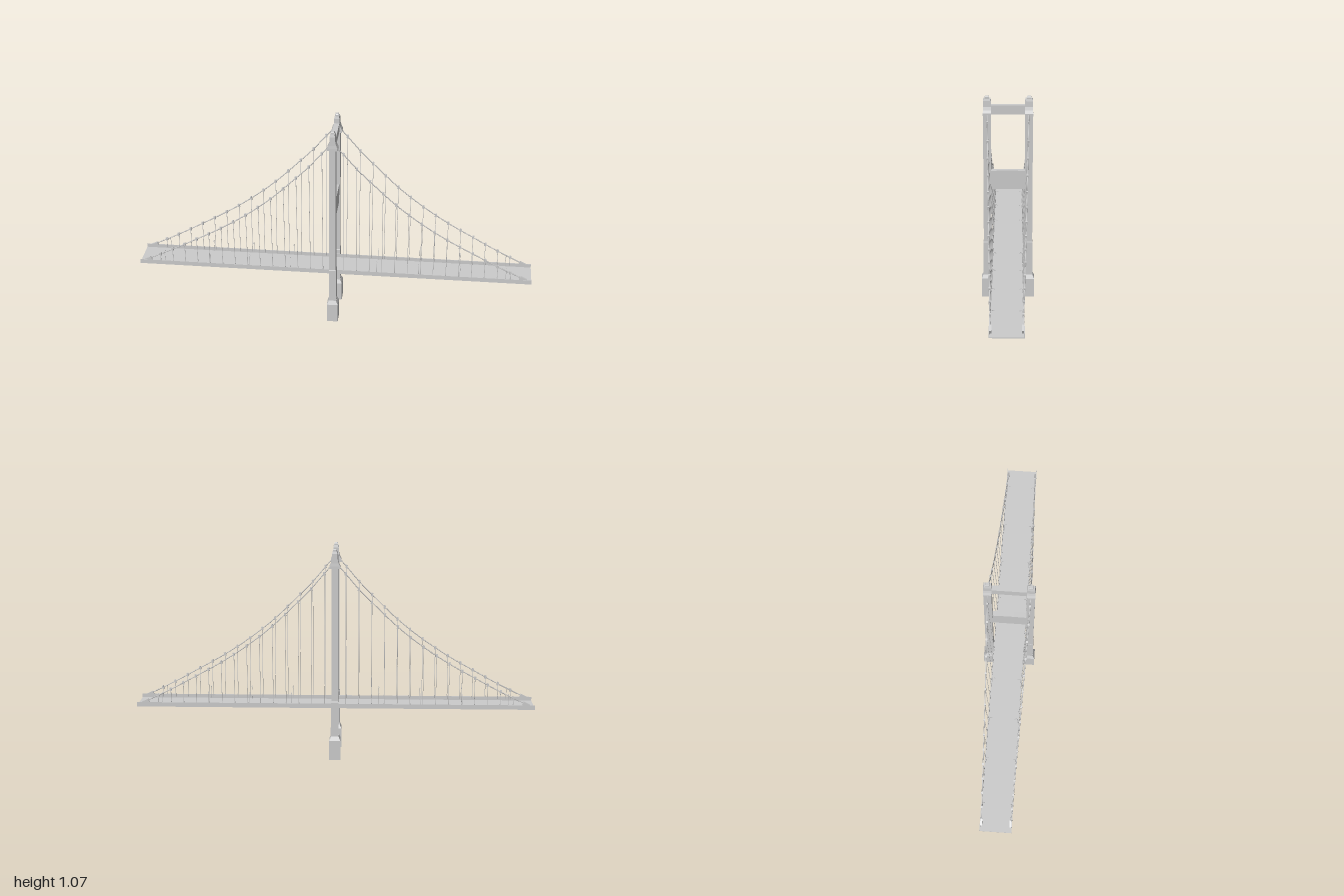
import * as THREE from 'three';

const grey = new THREE.MeshStandardMaterial({ color: 0xcccccc, flatShading: true });
const smooth = new THREE.MeshStandardMaterial({ color: 0xcccccc });

function add(parent, name, geometry, material = grey) {
  const mesh = new THREE.Mesh(geometry, material);
  mesh.name = name;
  parent.add(mesh);
  return mesh;
}

function box(parent, name, w, h, d, x, y, z) {
  const mesh = add(parent, name, new THREE.BoxGeometry(w, h, d));
  mesh.position.set(x, y, z);
  return mesh;
}

// Stacks rectangular sections [y, half width, half depth] into a closed solid.
function loft(sections) {
  const corners = [[1, 1], [1, -1], [-1, -1], [-1, 1]];
  const rings = sections.map(([y, hx, hz]) => corners.map(([a, b]) => [a * hx, y, b * hz]));
  const pos = [];
  const quad = (a, b, c, d) => [a, b, c, a, c, d].forEach(p => pos.push(...p));
  for (let i = 0; i + 1 < rings.length; i++) {
    for (let k = 0; k < 4; k++) {
      const n = (k + 1) % 4;
      quad(rings[i][k], rings[i][n], rings[i + 1][n], rings[i + 1][k]);
    }
  }
  const [b, t] = [rings[0], rings[rings.length - 1]];
  quad(b[3], b[2], b[1], b[0]);
  quad(t[0], t[1], t[2], t[3]);
  const geometry = new THREE.BufferGeometry();
  geometry.setAttribute('position', new THREE.Float32BufferAttribute(pos, 3));
  geometry.computeVertexNormals();
  return geometry;
}

// Thin straight rod between two points.
function rod(parent, name, a, b, radius) {
  const mesh = add(parent, name, new THREE.CylinderGeometry(radius, radius, a.distanceTo(b), 6), smooth);
  mesh.position.copy(a).lerp(b, 0.5);
  mesh.quaternion.setFromUnitVectors(new THREE.Vector3(0, 1, 0), b.clone().sub(a).normalize());
  return mesh;
}

// Sag of the main cable from the tower top to the deck end: [x, y].
const sag = [[0, 1.005], [0.053, 0.945], [0.12, 0.866], [0.187, 0.798], [0.315, 0.675], [0.44, 0.576],
  [0.573, 0.488], [0.7, 0.416], [0.826, 0.347], [0.965, 0.278]];
const cableZ = x => 0.103 - 0.031 * x;

function makeCable(sx, sz) {
  const group = new THREE.Group();
  group.name = 'suspensionCable';
  const point = ([x, y]) => new THREE.Vector3(sx * x, y, sz * cableZ(x));
  const curve = new THREE.CatmullRomCurve3(sag.map(point));
  add(group, 'mainCable', new THREE.TubeGeometry(curve, 60, 0.0026, 6), smooth);

  // Finds the cable point at a given distance from the tower.
  const at = x => {
    let lo = 0, hi = 1;
    for (let i = 0; i < 30; i++) {
      const mid = (lo + hi) / 2;
      if (Math.abs(curve.getPoint(mid).x) < x) lo = mid; else hi = mid;
    }
    return curve.getPoint(lo);
  };

  // Hangers lean in from the cable clamps to the deck edge.
  for (let i = 0; i < 14; i++) {
    const top = at(0.053 + 0.0645 * i);
    const foot = new THREE.Vector3(top.x, 0.265, sz * 0.076);
    rod(group, 'hanger', top, foot, 0.0014);
    const clamp = box(group, 'cableClamp', 0.009, 0.017, 0.009, top.x, top.y, top.z);
    clamp.rotation.z = -sx * 0.2;
    rod(group, 'hangerSocket', foot, foot.clone().lerp(top, 0.018 / foot.distanceTo(top)), 0.0025);
  }

  // Anchor block at the deck end
  const anchor = box(group, 'cableAnchor', 0.035, 0.018, 0.01, sx * 0.957, 0.279, sz * 0.073);
  anchor.rotation.z = -sx * 0.45;
  return group;
}

function makeLamp(x, sz) {
  const pts = [[0.257, 0.073], [0.31, 0.073], [0.326, 0.07], [0.33, 0.064], [0.326, 0.058]];
  const curve = new THREE.CatmullRomCurve3(pts.map(([y, z]) => new THREE.Vector3(x, y, sz * z)));
  const lamp = new THREE.Group();
  lamp.name = 'streetLamp';
  add(lamp, 'lampPost', new THREE.TubeGeometry(curve, 16, 0.0011, 5), smooth);
  box(lamp, 'lampHead', 0.004, 0.003, 0.006, x, 0.326, sz * 0.059);
  return lamp;
}

function makeLeg(sz) {
  const leg = new THREE.Group();
  leg.name = 'towerLeg';
  add(leg, 'footing', loft([[0, 0.028, 0.031], [0.1, 0.028, 0.031], [0.12, 0.019, 0.022]]));
  add(leg, 'lowerShaft', loft([[0.11, 0.018, 0.0215], [0.298, 0.018, 0.0215], [0.303, 0.0165, 0.0195]]));
  add(leg, 'upperShaft', loft([[0.3, 0.0165, 0.0195], [0.985, 0.0165, 0.0195]]));
  // Flared cable saddle, pinnacle and cap
  add(leg, 'cableSaddle', loft([[0.972, 0.026, 0.0205], [0.985, 0.026, 0.0205], [1.0, 0.019, 0.0195],
    [1.015, 0.0145, 0.0195], [1.045, 0.0135, 0.0195], [1.056, 0.011, 0.017]]));
  add(leg, 'cap', loft([[1.054, 0.009, 0.011], [1.064, 0.009, 0.011], [1.067, 0.007, 0.009]]));
  leg.position.z = sz * 0.1035;
  return leg;
}

export function createModel() {
  const model = new THREE.Group();
  model.name = 'suspensionBridge';

  // Tower
  const tower = new THREE.Group();
  tower.name = 'tower';
  for (const s of [1, -1]) tower.add(makeLeg(s));
  box(tower, 'topBeam', 0.026, 0.045, 0.18, 0, 0.9995, 0);
  box(tower, 'lowerBeam', 0.03, 0.018, 0.18, 0, 0.246, 0);
  // Middle beam with a slightly raised crown
  const beam = new THREE.Shape();
  beam.moveTo(-0.09, 0.587).lineTo(0.09, 0.587).lineTo(0.09, 0.682);
  beam.quadraticCurveTo(0, 0.688, -0.09, 0.682);
  const middle = new THREE.ExtrudeGeometry(beam, { depth: 0.026, bevelEnabled: false, curveSegments: 8 });
  middle.translate(0, 0, -0.013).rotateY(Math.PI / 2);
  add(tower, 'middleBeam', middle);
  model.add(tower);

  // Deck: a flat roadway with thin raised sides
  const deck = new THREE.Group();
  deck.name = 'deck';
  box(deck, 'roadway', 2, 0.004, 0.158, 0, 0.257, 0);
  for (const s of [1, -1]) box(deck, 'sideGirder', 2, 0.023, 0.003, 0, 0.2665, s * 0.0785);
  model.add(deck);

  // Cables and lamps on both sides
  for (const sz of [1, -1]) {
    for (const sx of [1, -1]) {
      model.add(makeCable(sx, sz));
      for (const x of [0.22, 0.43, 0.64, 0.87]) model.add(makeLamp(sx * x, sz));
    }
  }
  return model;
}
